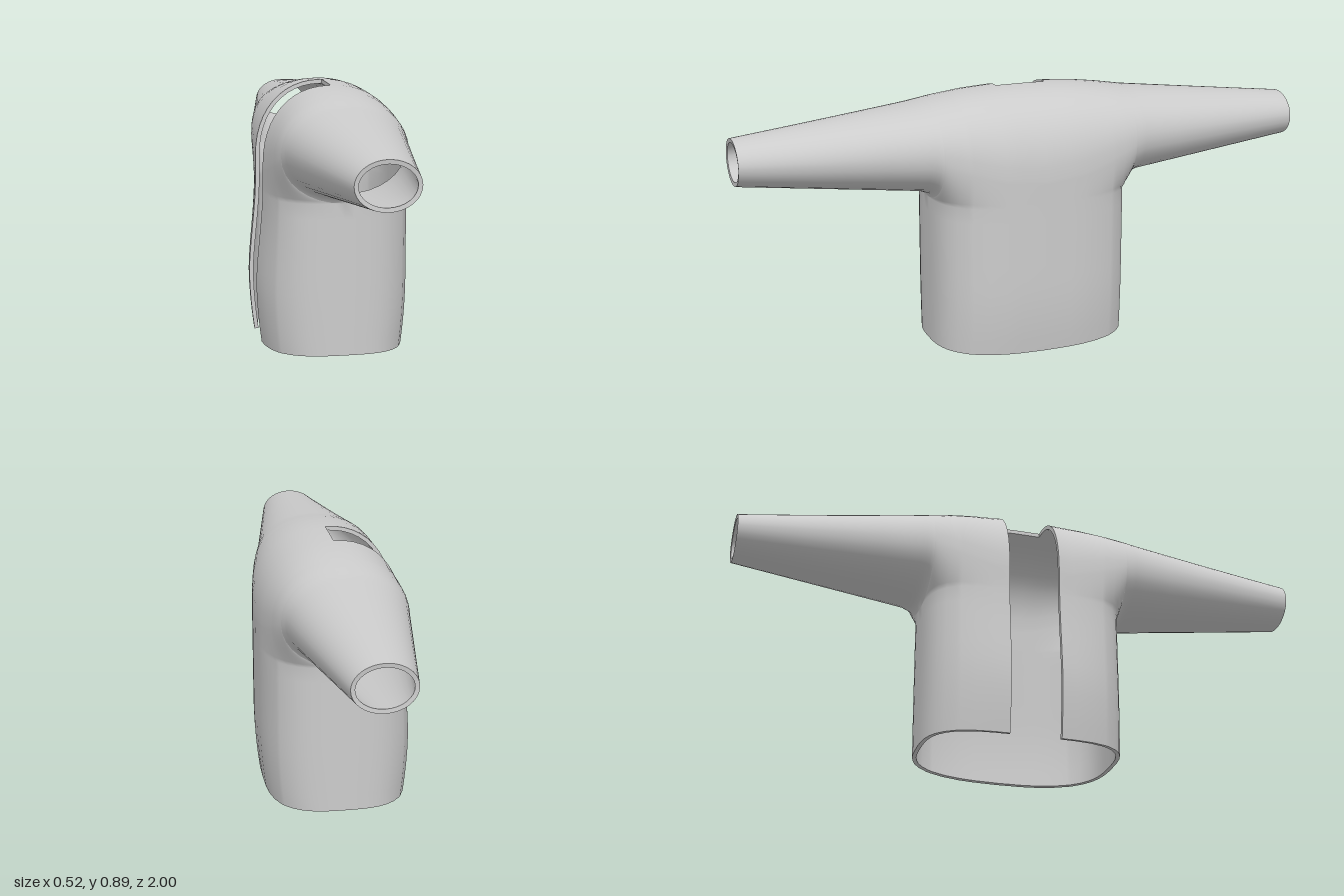
import * as THREE from 'three';
import { mergeVertices } from 'three/addons/utils/BufferGeometryUtils.js';

const WALL = 0.014;      // shell thickness
const BODY_Z = 0.345;    // half depth of the skirt
const BODY_X = 0.258;    // half width of the skirt
const SLOT = 0.088;      // half width of the slot
const LEG = 10, LOW = 8, UP = 12;             // segments along one half section
const HALF = LEG + LOW + UP, FULL = 2 * HALF;

const smooth = THREE.MathUtils.smoothstep;

// piecewise linear lookup in [position, value] pairs
function lookup(table, t) {
  for (let i = 1; i < table.length; i++) {
    const [a, va] = table[i - 1], [b, vb] = table[i];
    if (t <= b) return va + (vb - va) * (t - a) / (b - a);
  }
  return table[table.length - 1][1];
}

// profiles along z: top line, underside, widest height, half width
const TOP = [[0, 0.89], [0.1, 0.889], [0.2, 0.882], [0.29, 0.87], [0.39, 0.853], [1, 0.784]];
const UNDER = [[0, 0.525], [0.345, 0.53], [0.355, 0.545], [0.385, 0.556], [1, 0.628]];
const MID = [[0, 0.61], [0.15, 0.625], [0.3, 0.675], [0.38, 0.7], [1, 0.706]];
const WIDTH = [[0, 0.259], [0.1, 0.255], [0.2, 0.244], [0.3, 0.226], [0.4, 0.2], [1, 0.102]];

// half width of the skirt at depth z (a rounded rectangle in plan)
function skirtX(z) {
  const s = Math.min(1, Math.abs(z) / BODY_Z);
  return BODY_X * Math.cbrt(Math.max(0, 1 - s ** 3));
}

// point on the section at depth z; k runs from the hem (0) to the ridge (HALF)
function sectionPoint(z, k, side) {
  const d = Math.abs(z);
  const under = lookup(UNDER, d), mid = lookup(MID, d), top = lookup(TOP, d);
  const xr = skirtX(z), w = Math.max(lookup(WIDTH, d), xr);
  let x, y;
  if (k <= LEG) {
    // straight skirt wall, drawn in slightly at the hem
    const hem = 0.012 * Math.min(1, d / BODY_Z) ** 2;
    y = hem + (under - hem) * k / LEG;
    x = xr * (1 - 0.07 * Math.max(0, 1 - y / 0.25) ** 2);
  } else if (k <= LEG + LOW) {
    // lower flank, turning under where the sleeve leaves the skirt
    const t = 1 - (k - LEG) / LOW, end = Math.acos(Math.min(1, xr / w)), a = t * end;
    x = w * Math.cos(a);
    y = mid - (mid - under) * (end < 1e-4 ? t : Math.sin(a) / Math.sin(end));
  } else {
    // upper arch
    const t = (k - LEG - LOW) / UP, a = t * Math.PI / 2;
    const p = 0.9 + 0.1 * smooth(d, 0.1, 0.9);
    x = t === 1 ? 0 : w * Math.cos(a) ** p;
    y = mid + (top - mid) * Math.sin(a) ** p;
  }
  // the slotted side is pinched in above the bulge
  if (side < 0) x *= 1.015 - 0.015 * smooth(d, 0.2, 0.4)
    - 0.1 * smooth(y, 0.18, 0.56) * (1 - smooth(d, 0.12, 0.42));
  return [side * x, y, z];
}

// outer skin: skirt, crown and both sleeves as one net of sections along z
function buildSkin() {
  const corner = [0.82, 0.72, 0.6, 0.48, 0.36, 0.24, 0.12, 0].map(f => BODY_Z * Math.cbrt(1 - f ** 3));
  const half = [SLOT, 0.14, 0.2, 0.25, ...corner, 0.355, 0.37, 0.385, 0.42, 0.52, 0.65, 0.82, 1];
  const zs = [...half.map(z => -z).reverse(), 0, ...half];
  const pos = [], index = [];
  for (const z of zs)
    for (let j = 0; j <= FULL; j++)
      pos.push(...(j <= HALF ? sectionPoint(z, j, -1) : sectionPoint(z, FULL - j, 1)));
  for (let i = 0; i < zs.length - 1; i++) {
    const near = Math.min(Math.abs(zs[i]), Math.abs(zs[i + 1]));
    const far = Math.max(Math.abs(zs[i]), Math.abs(zs[i + 1]));
    for (let j = 0; j < FULL; j++) {
      if (far <= SLOT && j < HALF) continue;                                    // slot
      if (near > BODY_Z - 1e-6 && (j < LEG || j >= FULL - LEG)) continue;       // sleeve
      const a = i * (FULL + 1) + j, b = a + FULL + 1;
      index.push(a, b, a + 1, b, b + 1, a + 1);
    }
  }
  const net = new THREE.BufferGeometry();
  net.setAttribute('position', new THREE.Float32BufferAttribute(pos, 3));
  net.setIndex(index);
  const skin = mergeVertices(net, 1e-5);
  // drop triangles that collapsed in the weld
  const src = skin.index.array, kept = [];
  for (let i = 0; i < src.length; i += 3) {
    const [a, b, c] = [src[i], src[i + 1], src[i + 2]];
    if (a !== b && b !== c && c !== a) kept.push(a, b, c);
  }
  skin.setIndex(kept);
  skin.computeVertexNormals();
  return skin;
}

// inner skin offset inward, facing the hollow
function buildLining(skin) {
  const lining = skin.clone();
  const p = lining.attributes.position, n = skin.attributes.normal;
  for (let i = 0; i < p.count; i++)
    p.setXYZ(i, p.getX(i) - WALL * n.getX(i), Math.max(0, p.getY(i) - WALL * n.getY(i)), p.getZ(i) - WALL * n.getZ(i));
  lining.setIndex(Array.from(skin.index.array).reverse());
  lining.computeVertexNormals();
  return lining;
}

// strip closing every open edge between the two skins
function buildRim(skin, lining) {
  const idx = skin.index.array, edges = new Set(), pos = [];
  const each = fn => {
    for (let i = 0; i < idx.length; i += 3)
      for (let e = 0; e < 3; e++) fn(idx[i + e], idx[i + (e + 1) % 3]);
  };
  each((a, b) => edges.add(a + '_' + b));
  const point = (g, i) => new THREE.Vector3().fromBufferAttribute(g.attributes.position, i).toArray();
  each((a, b) => {
    if (edges.has(b + '_' + a)) return;
    const [oa, ob, ia, ib] = [point(skin, a), point(skin, b), point(lining, a), point(lining, b)];
    pos.push(...ob, ...oa, ...ia, ...ob, ...ia, ...ib);
  });
  const rim = new THREE.BufferGeometry();
  rim.setAttribute('position', new THREE.Float32BufferAttribute(pos, 3));
  rim.computeVertexNormals();
  return rim;
}

export function createModel() {
  const model = new THREE.Group();
  model.name = 'slottedTeeSleeve';
  const material = new THREE.MeshStandardMaterial({ color: 0xcccccc, side: THREE.DoubleSide });
  const add = (name, geometry) => {
    const mesh = new THREE.Mesh(geometry, material);
    mesh.name = name;
    model.add(mesh);
  };
  const skin = buildSkin(), lining = buildLining(skin);
  add('outerShell', skin);
  add('innerShell', lining);
  add('rimEdges', buildRim(skin, lining));
  return model;
}
